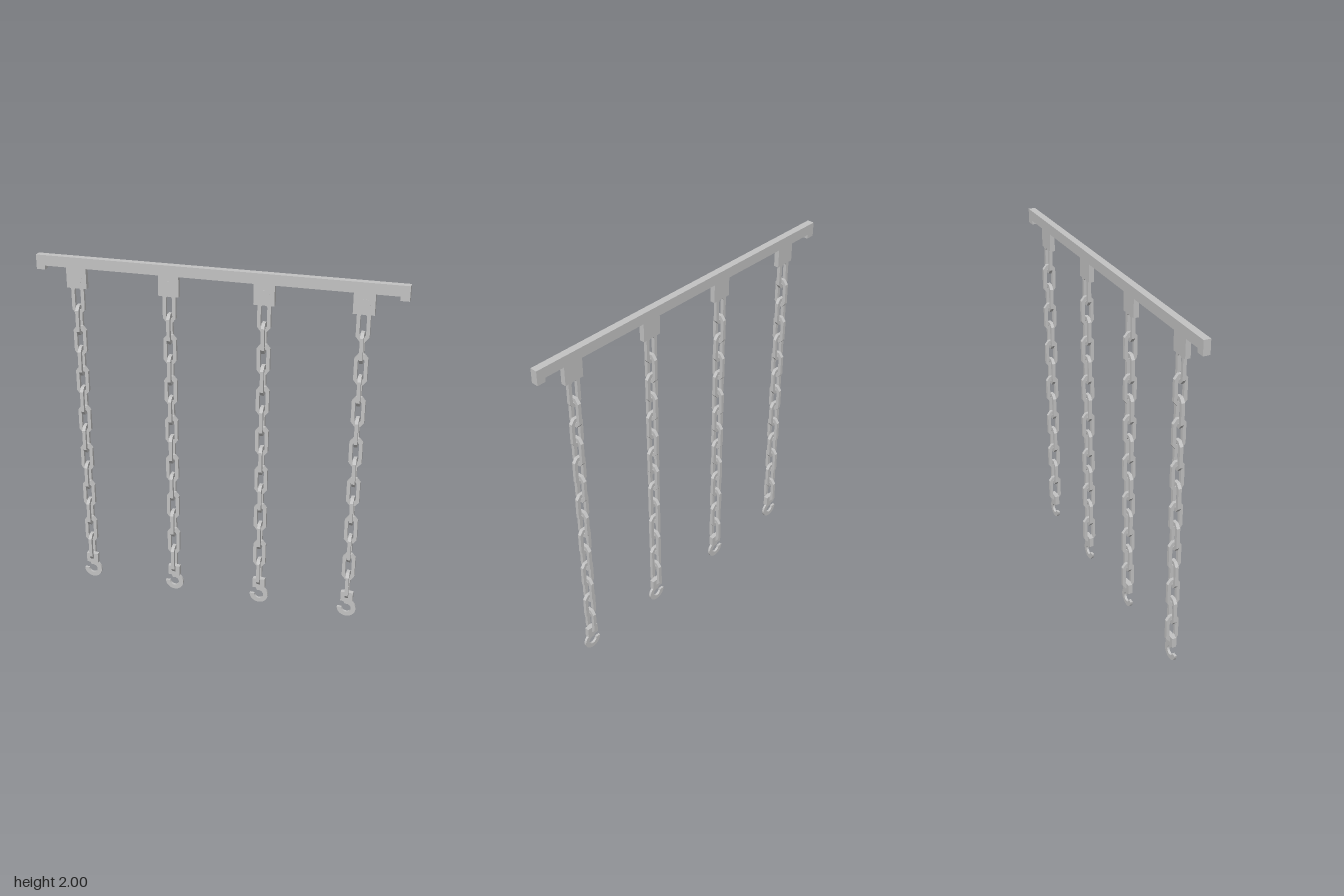
import * as THREE from 'three';

const steel = new THREE.MeshStandardMaterial({ color: 0xc3c3c3 });
steel.name = 'light grey steel';

function add(parent, geometry, name, x = 0, y = 0, z = 0) {
  const mesh = new THREE.Mesh(geometry, steel);
  mesh.name = name;
  mesh.position.set(x, y, z);
  parent.add(mesh);
  return mesh;
}

// Extrude a shape centred on z = 0
function plate(shape, depth, curveSegments = 12) {
  return new THREE.ExtrudeGeometry(shape, { depth, bevelEnabled: false, curveSegments })
    .translate(0, 0, -depth / 2);
}

// Corner points of an upright rectangle with cut corners
function octagon(halfW, halfH, cutX, cutY) {
  return [
    [halfW, -halfH + cutY], [halfW, halfH - cutY], [halfW - cutX, halfH], [-halfW + cutX, halfH],
    [-halfW, halfH - cutY], [-halfW, -halfH + cutY], [-halfW + cutX, -halfH], [halfW - cutX, -halfH],
  ].map(([x, y]) => new THREE.Vector2(x, y));
}

function linkGeometry() {
  const shape = new THREE.Shape(octagon(0.036, 0.085, 0.02, 0.025));
  shape.holes.push(new THREE.Path(octagon(0.017, 0.064, 0.009, 0.013)));
  return plate(shape, 0.019);
}

// Open ring with its gap at the upper left
function hookGeometry() {
  const start = Math.PI, end = Math.PI * 2.62;
  const shape = new THREE.Shape();
  shape.absarc(0, 0, 0.054, start, end, false);
  shape.absarc(0, 0, 0.027, end, start, true);
  shape.closePath();
  return plate(shape, 0.014, 20);
}

export function createModel() {
  const model = new THREE.Group();
  model.name = 'chainRack';

  // Beam with a downturned lip at each end
  add(model, new THREE.BoxGeometry(2, 0.058, 0.039), 'beam', 0, 1.971, -0.0015);
  for (const side of [-1, 1]) {
    add(model, new THREE.BoxGeometry(0.048, 0.022, 0.039), 'endLip', side * 0.976, 1.931, -0.0015);
  }

  const link = linkGeometry();
  const hook = hookGeometry();
  const bracket = new THREE.BoxGeometry(0.112, 0.112, 0.029);
  const rivet = new THREE.CylinderGeometry(0.03, 0.03, 0.004, 20).rotateX(Math.PI / 2);
  const hookBlock = new THREE.BoxGeometry(0.07, 0.06, 0.026);

  for (const x of [-0.775, -0.258, 0.258, 0.775]) {
    const strand = new THREE.Group();
    strand.name = 'hangingChain';
    strand.position.x = x;
    model.add(strand);

    // Bracket under the beam
    add(strand, bracket, 'bracket', 0, 1.886, 0.0025);
    add(strand, rivet, 'rivet', 0, 1.883, 0.0158);

    // Links turned a quarter from one to the next
    for (let i = 0; i < 14; i++) {
      const mesh = add(strand, link, 'chainLink', 0, 1.768 - i * 0.1197, 0);
      if (i % 2) mesh.rotation.y = Math.PI / 2;
    }

    // Hook at the end of the chain
    add(strand, hookBlock, 'hookBlock', 0, 0.131, 0);
    add(strand, hook, 'hook', 0, 0.054, 0);
  }
  return model;
}
